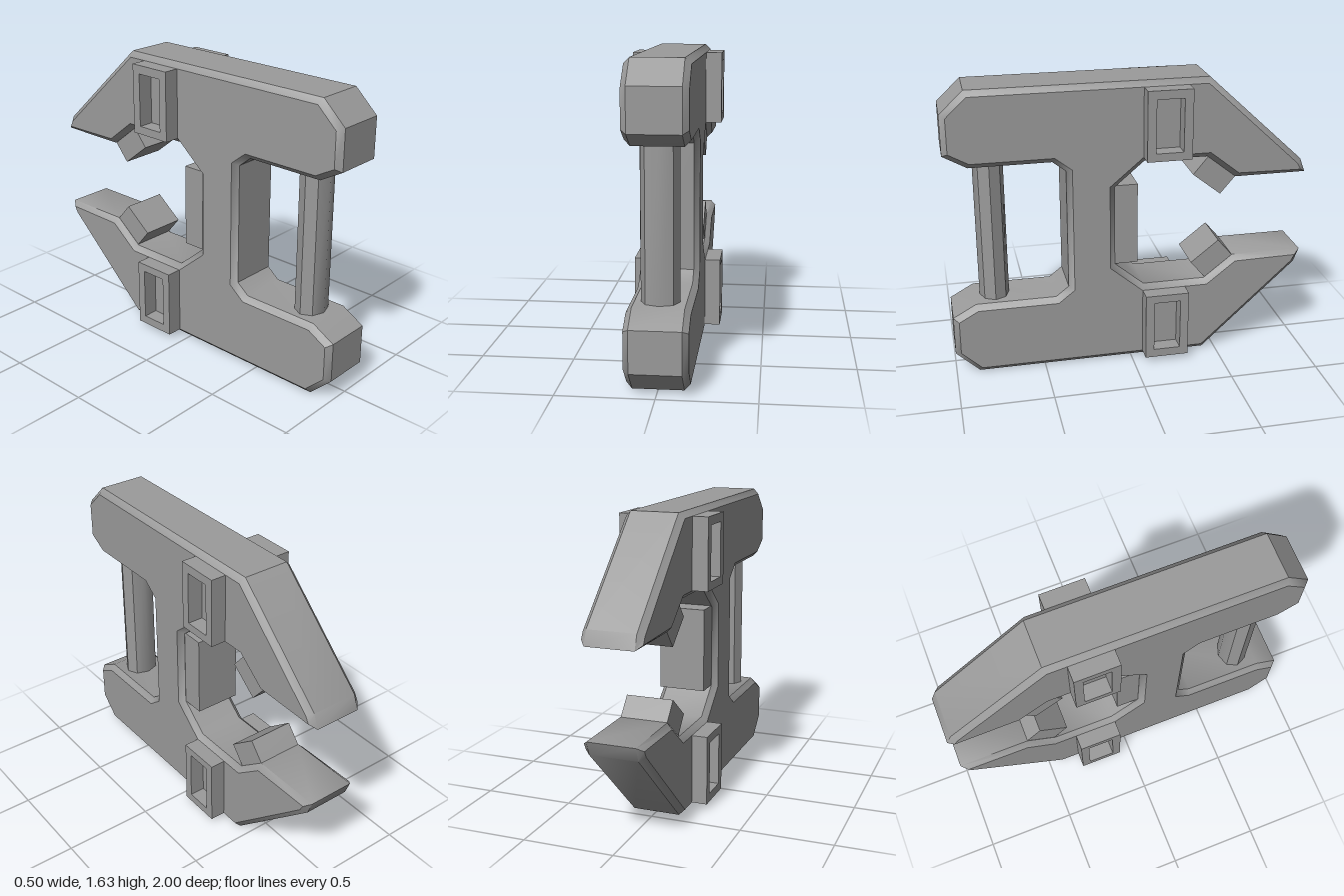
import * as THREE from 'three';
import { toCreasedNormals } from 'three/addons/utils/BufferGeometryUtils.js';

const HEIGHT = 1.633;
const CREASE = 0.72; // gentle folds are smoothed, chamfers stay sharp
const material = new THREE.MeshStandardMaterial({ color: 0x9b9b9b });

function part(name, geometry) {
  const mesh = new THREE.Mesh(toCreasedNormals(geometry, CREASE), material);
  mesh.name = name;
  return mesh;
}

// Mirror a [z, y] loop from the upper half to the lower half, keeping its winding
const flip = (pts) => pts.map(([z, y]) => [z, HEIGHT - y]).reverse();
const toVectors = (pts) => pts.map(([z, y]) => new THREE.Vector2(z, y));

// Side profile of [z, y] points extruded across x, centred, with optional chamfer
function profile(name, pts, width, bevel = 0, hole = null) {
  const shape = new THREE.Shape(toVectors(pts));
  if (hole) shape.holes.push(new THREE.Path(toVectors(hole)));
  const geometry = new THREE.ExtrudeGeometry(shape, {
    depth: width - 2 * bevel,
    bevelEnabled: bevel > 0,
    bevelSize: bevel,
    bevelThickness: bevel,
    bevelOffset: -bevel,
    bevelSegments: 1,
  });
  geometry.translate(0, 0, bevel - width / 2);
  geometry.rotateY(-Math.PI / 2);
  return part(name, geometry);
}

const rect = (z0, z1, y0, y1) => [[z0, y0], [z1, y0], [z1, y1], [z0, y1]];

export function createModel() {
  const model = new THREE.Group();
  model.name = 'clampFrame';

  // Chamfered frame: upper half of the outline, then its mirror
  const upper = [
    [0.353, 1.158], [0.425, 1.215], [0.87, 1.215], [1, 1.288], [1, 1.51], [0.87, HEIGHT],
    [-0.43, HEIGHT], [-0.97, 1.133], [-1, 1.055], [-0.595, 1.055], [-0.43, 1.185],
    [-0.075, 1.185], [0.09, 1.045],
  ];
  model.add(profile('frame', [...upper, ...flip(upper)], 0.322, 0.03));

  // Eight-sided grip bar between the front arms
  const bar = new THREE.CylinderGeometry(1, 1, 0.86, 8).scale(0.099, 1, 0.083);
  const grip = part('gripBar', bar);
  grip.position.set(0, HEIGHT / 2, 0.758);
  model.add(grip);

  // Pad on the back of the central column
  model.add(profile('columnPad', rect(-0.04, 0.13, 0.587, 1.053), 0.26));

  // Tilted jaw blocks, upper and lower
  const block = [[-0.352, 1.083], [-0.51, 0.958], [-0.597, 1.06], [-0.615, 1.083], [-0.457, 1.208], [-0.44, 1.188]];
  model.add(profile('upperJawBlock', block, 0.26));
  model.add(profile('lowerJawBlock', flip(block), 0.26));

  // Hollow rectangular sockets on both sides of each arm
  const outer = rect(-0.312, -0.065, 1.215, 1.603);
  const inner = rect(-0.264, -0.114, 1.26, 1.555);
  for (const [side, sign] of [['left', 1], ['right', -1]]) {
    for (const [level, place] of [['Upper', (pts) => pts], ['Lower', flip]]) {
      const socket = profile(`${side}${level}Socket`, place(outer), 0.118, 0, place(inner));
      socket.position.x = sign * 0.189;
      model.add(socket);
    }
  }

  return model;
}
